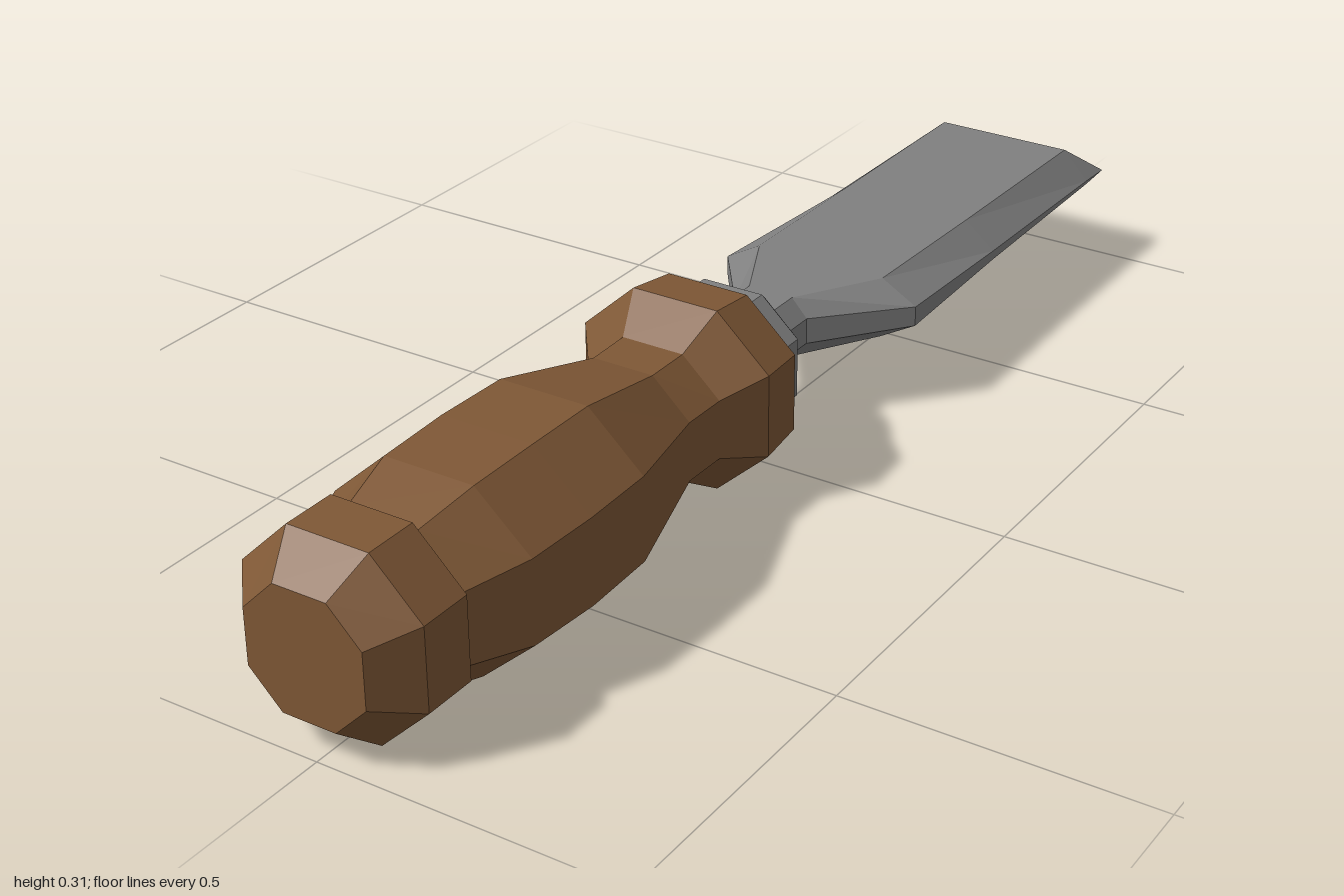
import * as THREE from 'three';

// Faceted loft along z, from front (+z) to back (-z).
// Each section: z, left x, right x, bottom y, top y, half width of the flat, half height of the side.
function loft(sections) {
  const rings = sections.map(([z, x0, x1, y0, y1, a, b]) => {
    const cx = (x0 + x1) / 2, cy = (y0 + y1) / 2;
    return [
      [x1, cy - b], [x1, cy + b], [cx + a, y1], [cx - a, y1],
      [x0, cy + b], [x0, cy - b], [cx - a, y0], [cx + a, y0],
    ].map(([x, y]) => new THREE.Vector3(x, y, z));
  });
  const points = [];
  const tri = (a, b, c) => {
    if (new THREE.Triangle(a, b, c).getArea() > 1e-7) points.push(a, b, c);
  };
  for (let k = 0; k < rings.length - 1; k++) {
    const p = rings[k], q = rings[k + 1];
    for (let i = 0; i < 8; i++) {
      const j = (i + 1) % 8;
      tri(p[i], q[i], p[j]);
      tri(p[j], q[i], q[j]);
    }
  }
  // end caps
  const first = rings[0], last = rings[rings.length - 1];
  for (let i = 1; i < 7; i++) {
    tri(first[0], first[i], first[i + 1]);
    tri(last[0], last[i + 1], last[i]);
  }
  const geometry = new THREE.BufferGeometry().setFromPoints(points);
  geometry.computeVertexNormals();
  return geometry;
}

// Regular octagonal section whose flats follow its size
const octagon = (z, x0, x1, y0, y1) =>
  [z, x0, x1, y0, y1, (x1 - x0) * 0.225, (y1 - y0) * 0.225];

export function createModel() {
  const wood = new THREE.MeshStandardMaterial({ color: 0x7f5836 });
  wood.name = 'brown wood';
  const steel = new THREE.MeshStandardMaterial({ color: 0x808080 });
  steel.name = 'grey steel';

  const group = new THREE.Group();
  group.name = 'chisel';
  const add = (name, sections, material) => {
    const mesh = new THREE.Mesh(loft(sections), material);
    mesh.name = name;
    group.add(mesh);
  };

  // Turned handle: butt cap, groove, swelling grip, neck and shoulder
  add('handle', [
    octagon(1.0, -0.107, 0.092, 0.06, 0.26),
    octagon(0.935, -0.163, 0.142, 0.01, 0.308),
    octagon(0.845, -0.163, 0.142, 0.01, 0.308),
    octagon(0.83, -0.137, 0.125, 0.03, 0.287),
    octagon(0.73, -0.174, 0.163, 0.008, 0.311),
    octagon(0.6, -0.179, 0.168, 0.001, 0.314),
    octagon(0.47, -0.172, 0.166, 0.006, 0.314),
    octagon(0.27, -0.122, 0.112, 0.049, 0.267),
    octagon(0.19, -0.125, 0.113, 0.049, 0.267),
    octagon(0.12, -0.179, 0.156, 0.008, 0.314),
    octagon(0.035, -0.165, 0.15, 0.02, 0.306),
  ], wood);

  // Metal collar
  add('collar', [
    octagon(0.05, -0.131, 0.107, 0.05, 0.268),
    octagon(-0.045, -0.131, 0.107, 0.05, 0.268),
    octagon(-0.06, -0.115, 0.095, 0.062, 0.256),
  ], steel);

  // Shank flaring into the bevelled blade, ending in a straight cutting edge
  add('blade', [
    [-0.04, -0.078, 0.058, 0.11, 0.215, 0.04, 0.022],
    [-0.155, -0.078, 0.058, 0.11, 0.215, 0.04, 0.022],
    [-0.295, -0.18, 0.179, 0.11, 0.215, 0.117, 0.017],
    [-0.57, -0.17, 0.177, 0.11, 0.215, 0.12, 0.008],
    [-0.935, -0.161, 0.176, 0.11, 0.215, 0.122, 0.003],
    [-1.0, -0.161, 0.176, 0.163, 0.163, 0.1685, 0],
  ], steel);

  return group;
}
